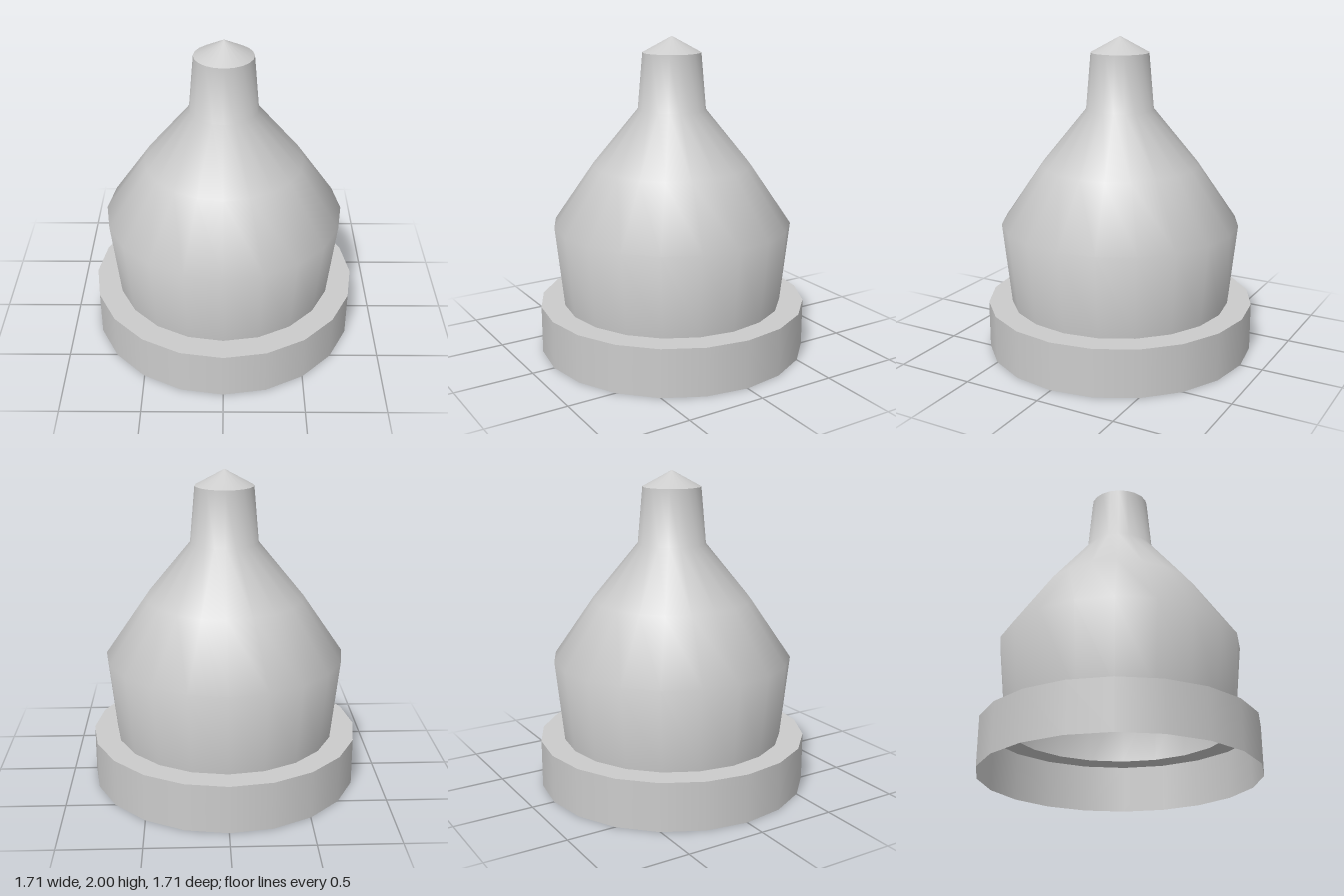
import * as THREE from 'three';

const SIDES = 20;

export function createModel() {
  const group = new THREE.Group();
  group.name = 'nozzleCap';
  // Thin open shell, visible from inside as well
  const material = new THREE.MeshStandardMaterial({ color: 0xcccccc, side: THREE.DoubleSide });

  // Each part is its own lathe, so edges between parts stay sharp
  const addLathe = (name, profile) => {
    const points = profile.map(([r, y]) => new THREE.Vector2(r, y));
    const mesh = new THREE.Mesh(new THREE.LatheGeometry(points, SIDES), material);
    mesh.name = name;
    group.add(mesh);
  };

  // Collar: open at the bottom, with a flat shoulder on top
  addLathe('collarWall', [[0.855, 0], [0.855, 0.305]]);
  addLathe('collarShoulder', [[0.855, 0.305], [0.703, 0.305]]);

  // Hollow body flaring out, then narrowing into the neck
  addLathe('body', [[0.703, 0.305], [0.757, 0.825], [0.5, 1.2], [0.214, 1.55], [0.183, 1.9]]);

  // Shallow cone closing the neck
  addLathe('tip', [[0.183, 1.9], [0, 2]]);

  return group;
}
